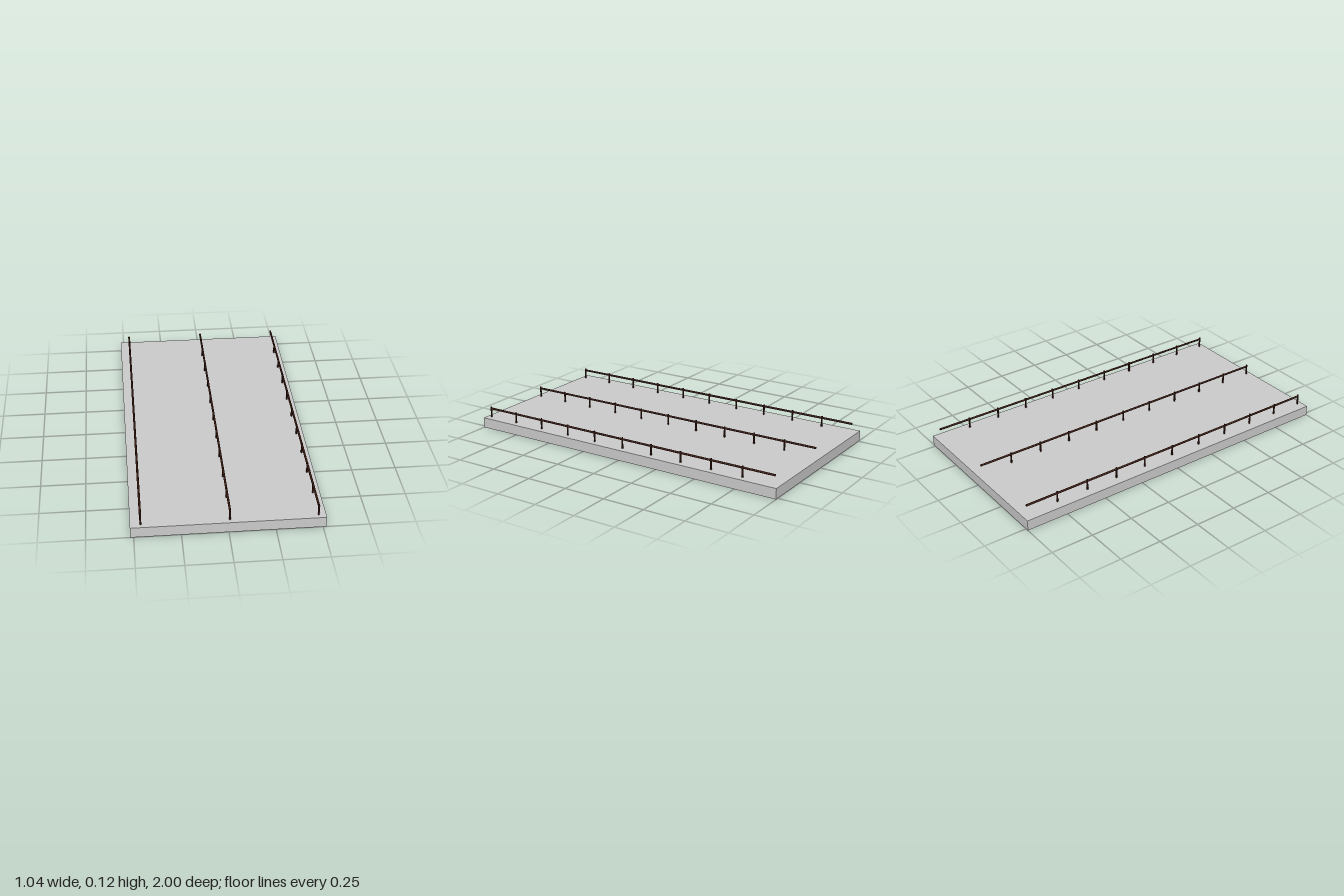
import * as THREE from 'three';

export function createModel() {
  const group = new THREE.Group();
  const grey = new THREE.MeshStandardMaterial({ color: 0xcccccc });
  const brown = new THREE.MeshStandardMaterial({ color: 0x3b1a10 });

  const slabTop = 0.061;
  const postTop = 0.125;
  const railLength = 1.942;
  const postCount = 10;
  const spacing = railLength / postCount;

  // Flat deck
  const deck = new THREE.Mesh(new THREE.BoxGeometry(1.036, slabTop, 2), grey);
  deck.name = 'deck';
  deck.position.y = slabTop / 2;
  group.add(deck);

  // Posts sink slightly into the deck
  const postHeight = postTop - slabTop + 0.01;
  const postGeometry = new THREE.CylinderGeometry(0.005, 0.005, postHeight, 16);
  const railGeometry = new THREE.CylinderGeometry(0.006, 0.006, railLength, 16).rotateX(Math.PI / 2);

  function makeRailing(name, x) {
    const railing = new THREE.Group();
    railing.name = name;
    railing.position.x = x;

    const rail = new THREE.Mesh(railGeometry, brown);
    rail.name = 'rail';
    rail.position.y = 0.115;
    railing.add(rail);

    // Posts run from the front end; the back end of the rail overhangs
    for (let i = 0; i < postCount; i++) {
      const post = new THREE.Mesh(postGeometry, brown);
      post.name = 'post';
      post.position.set(0, postTop - postHeight / 2, railLength / 2 - i * spacing);
      railing.add(post);
    }
    return railing;
  }

  group.add(
    makeRailing('rightRailing', -0.462),
    makeRailing('middleRailing', 0.008),
    makeRailing('leftRailing', 0.478)
  );
  return group;
}
